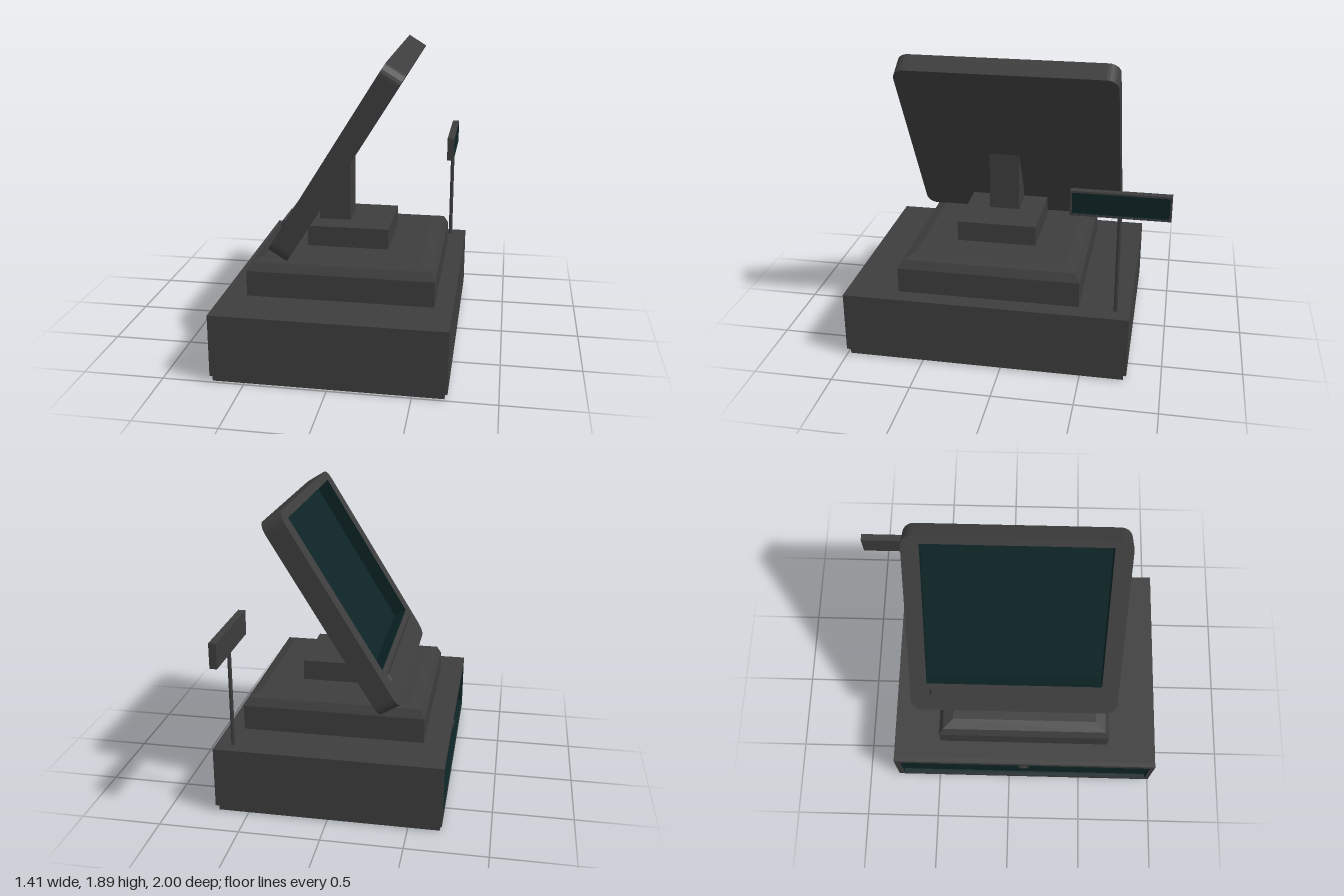
import * as THREE from 'three';

const shell = new THREE.MeshStandardMaterial({ color: 0x3d3d3d });
shell.name = 'charcoal plastic';
const glass = new THREE.MeshStandardMaterial({ color: 0x0d2426 });
glass.name = 'dark teal glass';

function add(parent, name, geometry, material, x = 0, y = 0, z = 0) {
  const mesh = new THREE.Mesh(geometry, material);
  mesh.name = name;
  mesh.position.set(x, y, z);
  parent.add(mesh);
  return mesh;
}

// Box given by its minimum and maximum corners
function block(parent, name, [x0, y0, z0], [x1, y1, z1]) {
  return add(parent, name, new THREE.BoxGeometry(x1 - x0, y1 - y0, z1 - z0), shell,
    (x0 + x1) / 2, (y0 + y1) / 2, (z0 + z1) / 2);
}

// Centred rectangle with optional rounded corners
function roundedRect(w, h, r) {
  const s = new THREE.Shape();
  const a = w / 2, b = h / 2;
  if (r === 0) {
    return s.moveTo(-a, -b).lineTo(a, -b).lineTo(a, b).lineTo(-a, b).closePath();
  }
  s.absarc(a - r, -b + r, r, -Math.PI / 2, 0);
  s.absarc(a - r, b - r, r, 0, Math.PI / 2);
  s.absarc(-a + r, b - r, r, Math.PI / 2, Math.PI);
  s.absarc(-a + r, -b + r, r, Math.PI, Math.PI * 1.5);
  return s.closePath();
}

// Slab facing +z with a glass-lined rectangular recess in its front
function recessedSlab(name, w, h, d, r, [x0, x1, y0, y1], depth) {
  const group = new THREE.Group();
  group.name = name;
  const extrude = (shape, len) => new THREE.ExtrudeGeometry(shape,
    { depth: len, bevelEnabled: false, curveSegments: 3 });
  add(group, name + 'Back', extrude(roundedRect(w, h, r), d - depth), shell, 0, 0, -d / 2);

  const front = roundedRect(w, h, r);
  front.holes.push(new THREE.Path().moveTo(x0, y0).lineTo(x0, y1).lineTo(x1, y1).lineTo(x1, y0).closePath());
  add(group, name + 'Frame', extrude(front, depth), shell, 0, 0, d / 2 - depth);

  // Inside-out box without its front face
  const liner = new THREE.BoxGeometry(x1 - x0 - 0.002, y1 - y0 - 0.002, depth - 0.002);
  const index = Array.from(liner.index.array);
  index.splice(24, 6);
  liner.setIndex(index);
  liner.clearGroups();
  liner.scale(-1, 1, 1);
  liner.computeVertexNormals();
  add(group, name + 'Panel', liner, glass, (x0 + x1) / 2, (y0 + y1) / 2, d / 2 - depth / 2 + 0.001);
  return group;
}

export function createModel() {
  const model = new THREE.Group();
  model.name = 'cashRegister';

  // Cash drawer with its recessed front on the -x side
  block(model, 'foot', [-0.695, 0, -0.77], [0.69, 0.04, 0.98]);
  const drawer = recessedSlab('drawer', 1.79, 0.39, 1.415, 0, [-0.855, 0.865, -0.15, 0.15], 0.03);
  drawer.rotation.y = -Math.PI / 2;
  drawer.position.set(0, 0.235, 0.105);
  model.add(drawer);
  [['lock', 0.036, 0.02], ['lockCore', 0.02, 0.026]].forEach(([name, r, len]) => {
    const lock = add(model, name, new THREE.CylinderGeometry(r, r, len, 16), shell, -0.68 - len / 2, 0.31, 0.1);
    lock.rotation.z = Math.PI / 2;
  });

  // Middle housing; its lower bevel is hidden in the drawer
  const bevel = 0.095;
  const housing = new THREE.ExtrudeGeometry(roundedRect(1.15 - 2 * bevel, 1.145 - 2 * bevel, 0),
    { depth: 0.16, bevelSize: bevel, bevelThickness: 0.075, bevelSegments: 2 });
  housing.rotateX(-Math.PI / 2);
  add(model, 'housing', housing, shell, 0.02, 0.43, 0.0975);

  // Stand
  block(model, 'standPlate', [-0.235, 0.66, -0.155], [0.275, 0.795, 0.355]);
  const neck = new THREE.Shape();
  neck.moveTo(-0.19, 0.79).lineTo(0.01, 0.79).lineTo(0.01, 1.18).lineTo(-0.19, 0.855).closePath();
  add(model, 'neck', new THREE.ExtrudeGeometry(neck, { depth: 0.195, bevelEnabled: false }), shell);

  // Tilted touch screen
  const screen = recessedSlab('screen', 1.36, 1.356, 0.135, 0.075, [-0.571, 0.569, -0.449, 0.62], 0.093);
  screen.rotation.set(0, -Math.PI / 2, -0.551, 'ZYX');
  screen.position.set(-0.0075, 1.274, 0.026);
  model.add(screen);

  // Raised card reader strip below the glass
  const strip = new THREE.Shape();
  strip.moveTo(-0.555, 0).lineTo(0.55, 0).lineTo(0.535, 0.016).lineTo(-0.54, 0.016).closePath();
  const stripGeometry = new THREE.ExtrudeGeometry(strip, { depth: 0.045, bevelEnabled: false });
  stripGeometry.rotateX(Math.PI / 2);
  add(screen, 'cardReader', stripGeometry, shell, 0, -0.493, 0.067);

  // Customer display on a pole, facing +x
  add(model, 'pole', new THREE.CylinderGeometry(0.0125, 0.0125, 0.64, 8), shell, 0.602, 0.74, -0.702);
  const display = recessedSlab('customerDisplay', 0.59, 0.155, 0.045, 0, [-0.284, 0.284, -0.066, 0.066], 0.012);
  display.rotation.y = Math.PI / 2;
  display.position.set(0.602, 1.1325, -0.705);
  model.add(display);

  return model;
}
